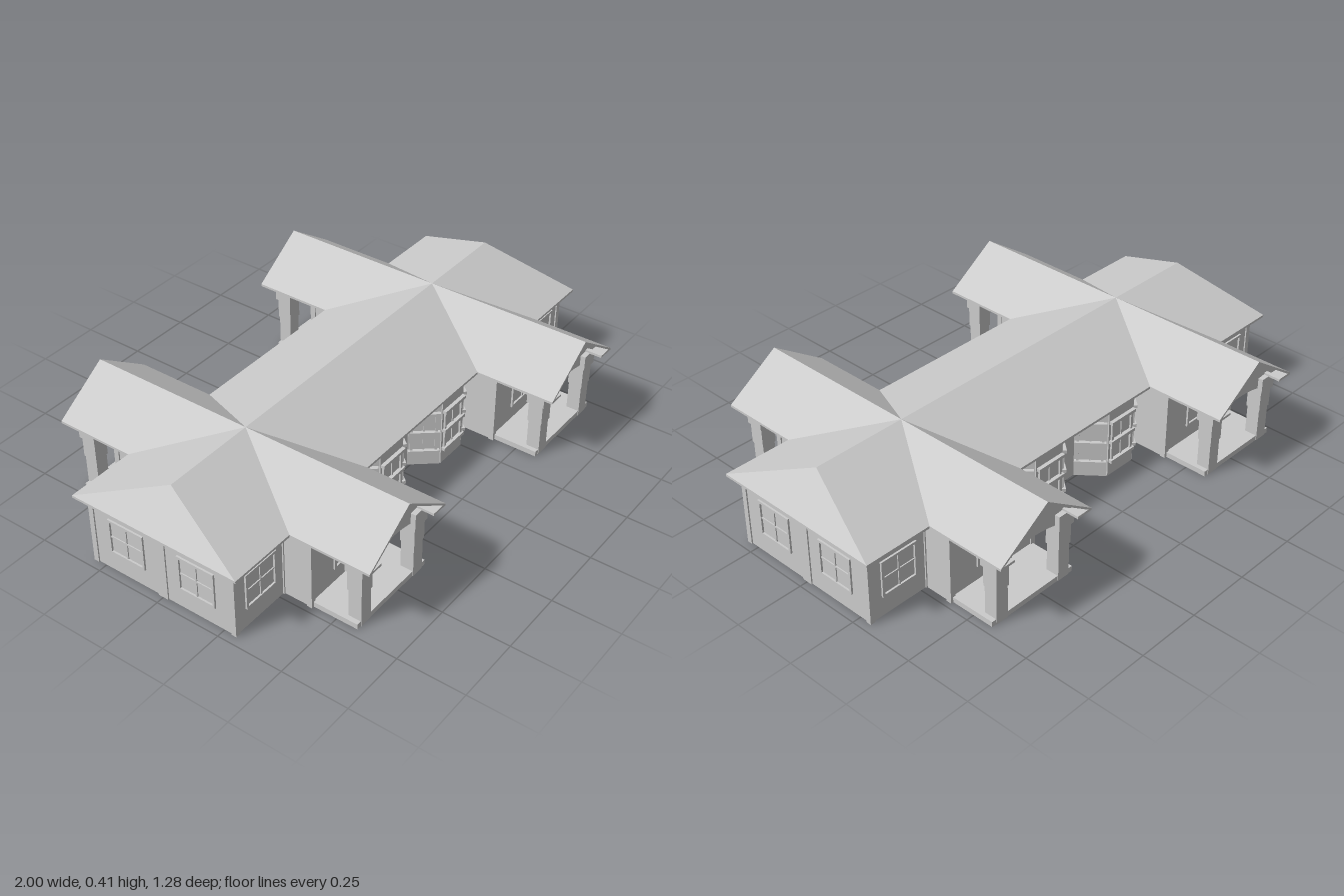
import * as THREE from 'three';

const mat = new THREE.MeshStandardMaterial({ color: 0xcccccc, flatShading: true, side: THREE.DoubleSide });
const WALL_H = 0.272, EAVE = 0.275, RIDGE = 0.413;

function add(parent, name, geo) {
  const m = new THREE.Mesh(geo, mat);
  m.name = name;
  parent.add(m);
  return m;
}

// Box given by its ranges on each axis
function box(parent, name, x0, x1, y0, y1, z0, z1) {
  const m = add(parent, name, new THREE.BoxGeometry(x1 - x0, y1 - y0, z1 - z0));
  m.position.set((x0 + x1) / 2, (y0 + y1) / 2, (z0 + z1) / 2);
  return m;
}

// Framed two-by-two window on a wall's outer and inner faces
function addWindow(parent, w, y0, y1, bay) {
  const g = new THREE.Group();
  g.name = bay ? 'bayWindow' : 'window';
  const f = 0.009, d = 0.012, h = w / 2, mid = (y0 + y1) / 2;
  for (const x of [-h, h]) box(g, 'windowJamb', x - f / 2, x + f / 2, y0, y1, -d, d);
  for (const y of [y0, y1]) box(g, 'windowRail', -h - f / 2, h + f / 2, y - f / 2, y + f / 2, -d, d);
  box(g, 'windowMullion', -0.003, 0.003, y0, y1, -0.006, 0.009);
  box(g, 'windowCrossbar', -h, h, mid - 0.003, mid + 0.003, -0.006, 0.009);
  if (bay) {
    for (const y of [y0, mid, y1]) box(g, 'baySill', -h - 0.012, h + 0.012, y - 0.006, y + 0.006, 0, 0.019);
  }
  parent.add(g);
}

// Wall between two plan points; its local +z faces outdoors
function wall(parent, a, b, windowKind) {
  const dx = b[0] - a[0], dz = b[1] - a[1], len = Math.hypot(dx, dz);
  const g = new THREE.Group();
  g.name = 'wallSection';
  g.position.set((a[0] + b[0]) / 2, 0, (a[1] + b[1]) / 2);
  g.rotation.y = Math.atan2(-dz, dx);
  box(g, 'wall', -len / 2, len / 2, 0, WALL_H, -0.005, 0.005);
  if (windowKind === 'bay') addWindow(g, len - 0.03, 0.062, 0.222, true);
  if (windowKind === 'plain') addWindow(g, 0.14, 0.08, 0.21, false);
  parent.add(g);
}

// Porch with slab, stepped columns, arched gable and cornice returns
function porch() {
  const g = new THREE.Group();
  g.name = 'porch';
  box(g, 'porchFloor', -0.185, 0.185, 0, 0.02, 0.4, 0.58);
  for (const s of [-1, 1]) {
    for (const [half, y0, y1] of [[0.025, 0, 0.13], [0.028, 0.13, 0.21], [0.034, 0.21, 0.267]]) {
      box(g, 'porchColumn', s * 0.142 - half, s * 0.142 + half, y0, y1, 0.557 - half, 0.557 + half);
    }
    const x = s * 0.173;
    box(g, 'eaveSoffit', x - 0.031, x + 0.031, 0.265, 0.274, 0.335, 0.636);
  }
  const panel = new THREE.Shape();
  panel.moveTo(-0.125, 0.22);
  panel.quadraticCurveTo(0, 0.258, 0.125, 0.22);
  for (const [x, y] of [[0.125, 0.267], [0.19, 0.275], [0, 0.4], [-0.19, 0.275], [-0.125, 0.267]]) panel.lineTo(x, y);
  panel.closePath();
  const geo = new THREE.ExtrudeGeometry(panel, { depth: 0.03, bevelEnabled: false, curveSegments: 14 });
  add(g, 'archedGable', geo).position.z = 0.542;

  const rake = new THREE.Shape();
  [[-0.2, 0.27], [-0.165, 0.27], [0, 0.385], [0.165, 0.27], [0.2, 0.27], [0, 0.408]]
    .forEach(([x, y], i) => (i ? rake.lineTo(x, y) : rake.moveTo(x, y)));
  rake.closePath();
  add(g, 'gableTrim', new THREE.ExtrudeGeometry(rake, { depth: 0.025, bevelEnabled: false })).position.z = 0.565;
  return g;
}

// Hip roof with four cross gables, one mirrored quadrant at a time
function roof() {
  const A = [0, RIDGE, 0], P = [0.535, RIDGE, 0], Q = [0.895, RIDGE, 0];
  const M = [0, EAVE, 0.335], V1 = [0.33, EAVE, 0.335], V2 = [0.74, EAVE, 0.335];
  const C = [1, EAVE, 0.335], D = [1, EAVE, 0];
  const G0 = [0.33, EAVE, 0.638], G1 = [0.535, RIDGE, 0.638], G2 = [0.74, EAVE, 0.638];
  const faces = [[A, M, V1, P], [P, V2, C, Q], [P, V1, G0, G1], [P, G1, G2, V2], [Q, C, D]];
  // Fascia hanging from the outline
  const rim = [M, V1, G0, G1, G2, V2, C, D];
  const drop = ([x, y, z]) => [x, y - 0.009, z];
  for (let i = 0; i + 1 < rim.length; i++) {
    faces.push([rim[i], drop(rim[i]), drop(rim[i + 1]), rim[i + 1]]);
  }
  const pos = [];
  for (const sx of [1, -1]) for (const sz of [1, -1]) {
    for (const f of faces) {
      for (let i = 1; i + 1 < f.length; i++) {
        const tri = [f[0], f[i], f[i + 1]];
        if (sx * sz < 0) tri.reverse();
        for (const [x, y, z] of tri) pos.push(sx * x, y, sz * z);
      }
    }
  }
  const geo = new THREE.BufferGeometry();
  geo.setAttribute('position', new THREE.Float32BufferAttribute(pos, 3));
  geo.computeVertexNormals();
  return geo;
}

// Front half of the house: walls, bays, pilasters and two porches
function houseHalf() {
  const g = new THREE.Group();
  const plan = [[0, 0.235], [0.045, 0.235], [0.12, 0.325], [0.25, 0.325], [0.325, 0.235], [0.35, 0.235],
    [0.35, 0.4], [0.72, 0.4], [0.72, 0.29], [0.96, 0.29], [0.96, 0]];
  const kinds = [null, 'bay', 'bay', 'bay', null, null, 'plain', null, 'plain', 'plain'];
  for (const s of [1, -1]) {
    const flip = ([x, z]) => [s * x, z];
    kinds.forEach((kind, i) => {
      const a = flip(plan[i]), b = flip(plan[i + 1]);
      if (s > 0) wall(g, a, b, kind); else wall(g, b, a, kind);
    });
    // Pilasters at the wall corners and half of the one in the end wall
    for (const [x, z] of [[0.35, 0.4], [0.72, 0.4], [0.72, 0.29], [0.96, 0.29]]) {
      box(g, 'pilaster', s * x - 0.01, s * x + 0.01, 0, WALL_H, z - 0.01, z + 0.01);
    }
    box(g, 'endPilaster', s * 0.96 - 0.01, s * 0.96 + 0.01, 0, WALL_H, 0, 0.02);
    const p = porch();
    p.position.x = s * 0.535;
    g.add(p);
  }
  return g;
}

export function createModel() {
  const model = new THREE.Group();
  model.name = 'house';
  const front = houseHalf();
  front.name = 'frontHalf';
  const back = houseHalf();
  back.name = 'backHalf';
  back.rotation.y = Math.PI;
  model.add(front, back);
  add(model, 'roof', roof());
  return model;
}
